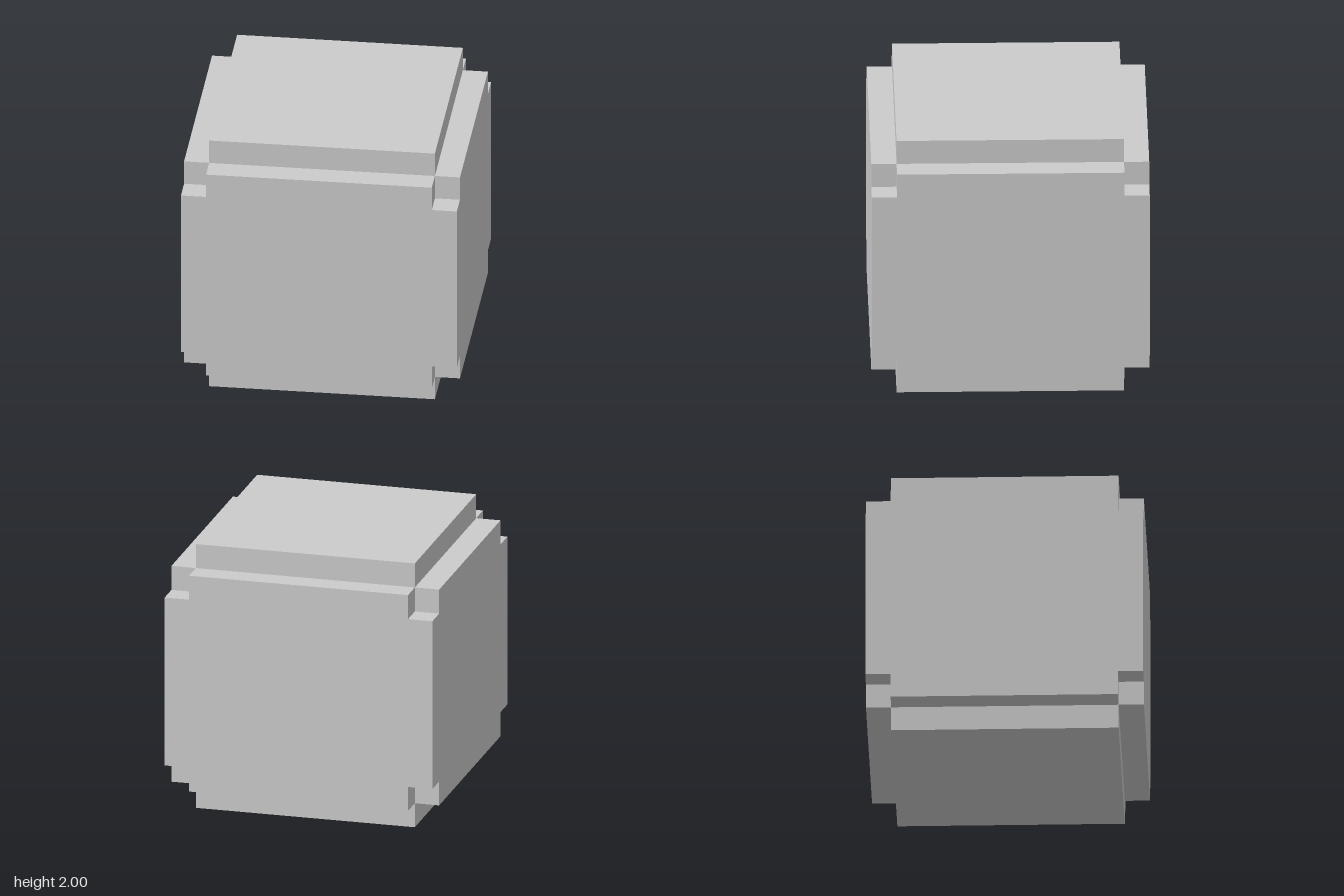
import * as THREE from 'three';

const STEP = 2 / 11;       // size of every notch
const INNER = 1 - STEP;    // half width of the stepped-in faces

const material = new THREE.MeshStandardMaterial({ color: 0xcccccc, flatShading: true });

// Square outline whose four corners are notched
function notchedSquare() {
  const corners = [[1, 1], [-1, 1], [-1, -1], [1, -1]];
  const points = corners.flatMap(([sx, sy]) => {
    const notch = [
      new THREE.Vector2(sx, sy * INNER),
      new THREE.Vector2(sx * INNER, sy * INNER),
      new THREE.Vector2(sx * INNER, sy),
    ];
    return sx * sy > 0 ? notch : notch.reverse();
  });
  return new THREE.Shape(points);
}

function addPart(group, name, geometry, y) {
  const mesh = new THREE.Mesh(geometry, material);
  mesh.name = name;
  mesh.position.y = y;
  group.add(mesh);
}

export function createModel() {
  const group = new THREE.Group();
  group.name = 'steppedCube';

  // Full-width body
  addPart(group, 'body', new THREE.BoxGeometry(2, 2 - 4 * STEP, 2), 1);

  // Layers with notched corners, then the inset end plates
  const notched = new THREE.ExtrudeGeometry(notchedSquare(), { depth: STEP, bevelEnabled: false });
  notched.rotateX(-Math.PI / 2).translate(0, -STEP / 2, 0);
  const plate = new THREE.BoxGeometry(2 * INNER, STEP, 2 * INNER);
  for (const [side, sign] of [['bottom', -1], ['top', 1]]) {
    addPart(group, side + 'NotchedLayer', notched, 1 + sign * (1 - 1.5 * STEP));
    addPart(group, side + 'Plate', plate, 1 + sign * (1 - 0.5 * STEP));
  }
  return group;
}
